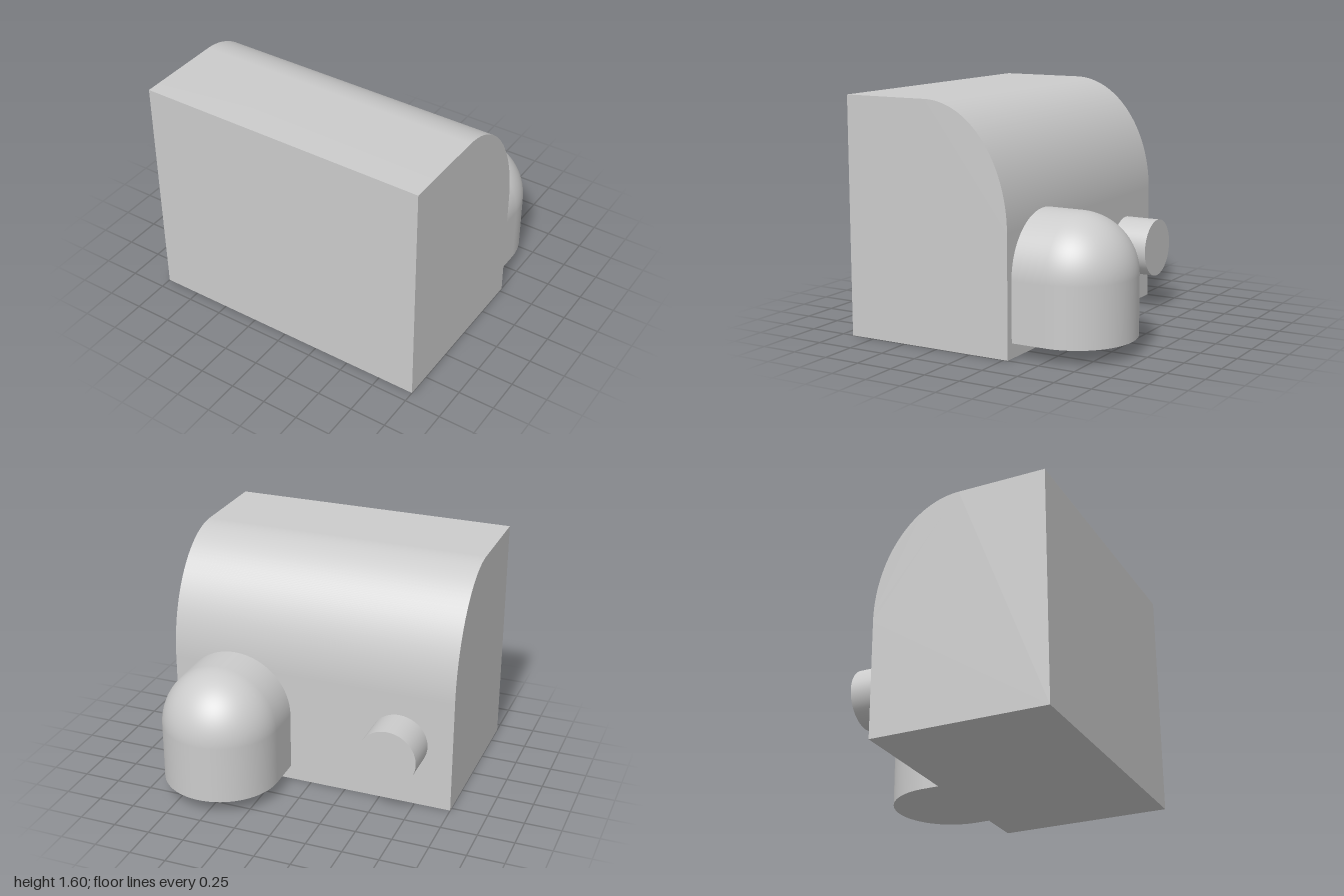
import * as THREE from 'three';
import { toCreasedNormals } from 'three/addons/utils/BufferGeometryUtils.js';

const material = new THREE.MeshStandardMaterial({ color: 0xcccccc });
const BACK = -0.28; // z of the flat rear wall

function add(parent, name, geometry, x = 0, y = 0, z = 0) {
  const mesh = new THREE.Mesh(geometry, material);
  mesh.name = name;
  mesh.position.set(x, y, z);
  parent.add(mesh);
  return mesh;
}

// Block with an elliptical rear shoulder: side profile swept across x
function bodyGeometry() {
  const s = new THREE.Shape();
  s.moveTo(-0.92, 0);
  s.lineTo(0.28, 0);
  s.lineTo(0.28, 0.8);
  s.absellipse(-0.32, 0.8, 0.6, 0.8, 0, Math.PI / 2, false, 0);
  s.lineTo(-0.92, 1.6);
  s.closePath();
  const g = new THREE.ExtrudeGeometry(s, { depth: 2, bevelEnabled: false, curveSegments: 48 });
  g.translate(0, 0, -1).rotateY(Math.PI / 2);
  return toCreasedNormals(g, Math.PI / 9);
}

// Hood: arched neck against the wall, ending in a rounded, domed nose
function createHood() {
  const hood = new THREE.Group();
  hood.name = 'hood';
  const r = 0.4, neck = 0.24, half = Math.PI / 2;
  const halfTube = (length) =>
    new THREE.CylinderGeometry(r, r, length, 48, 1, true, half, Math.PI);

  add(hood, 'neckArch', halfTube(neck).rotateX(half), 0, r, neck / 2);
  for (const side of [-1, 1]) {
    add(hood, 'neckSide', new THREE.PlaneGeometry(neck, r).rotateY(side * half), side * r, r / 2, neck / 2);
  }
  add(hood, 'neckBottom', new THREE.PlaneGeometry(2 * r, neck).rotateX(half), 0, 0, neck / 2);
  add(hood, 'noseWall', halfTube(r), 0, r / 2, 0);
  add(hood, 'noseDome', new THREE.SphereGeometry(r, 48, 24, Math.PI, Math.PI, 0, half), 0, r, 0);
  add(hood, 'noseBottom', new THREE.CircleGeometry(r, 48, Math.PI, Math.PI).rotateX(half));

  hood.position.set(0.55, 0.1, BACK - neck);
  return hood;
}

export function createModel() {
  const model = new THREE.Group();
  model.name = 'model';
  add(model, 'body', bodyGeometry());
  model.add(createHood());
  // Round stub on the rear wall
  add(model, 'stub', new THREE.CylinderGeometry(0.2, 0.2, 0.25, 48).rotateX(Math.PI / 2), -0.627, 0.45, BACK - 0.125);
  return model;
}
